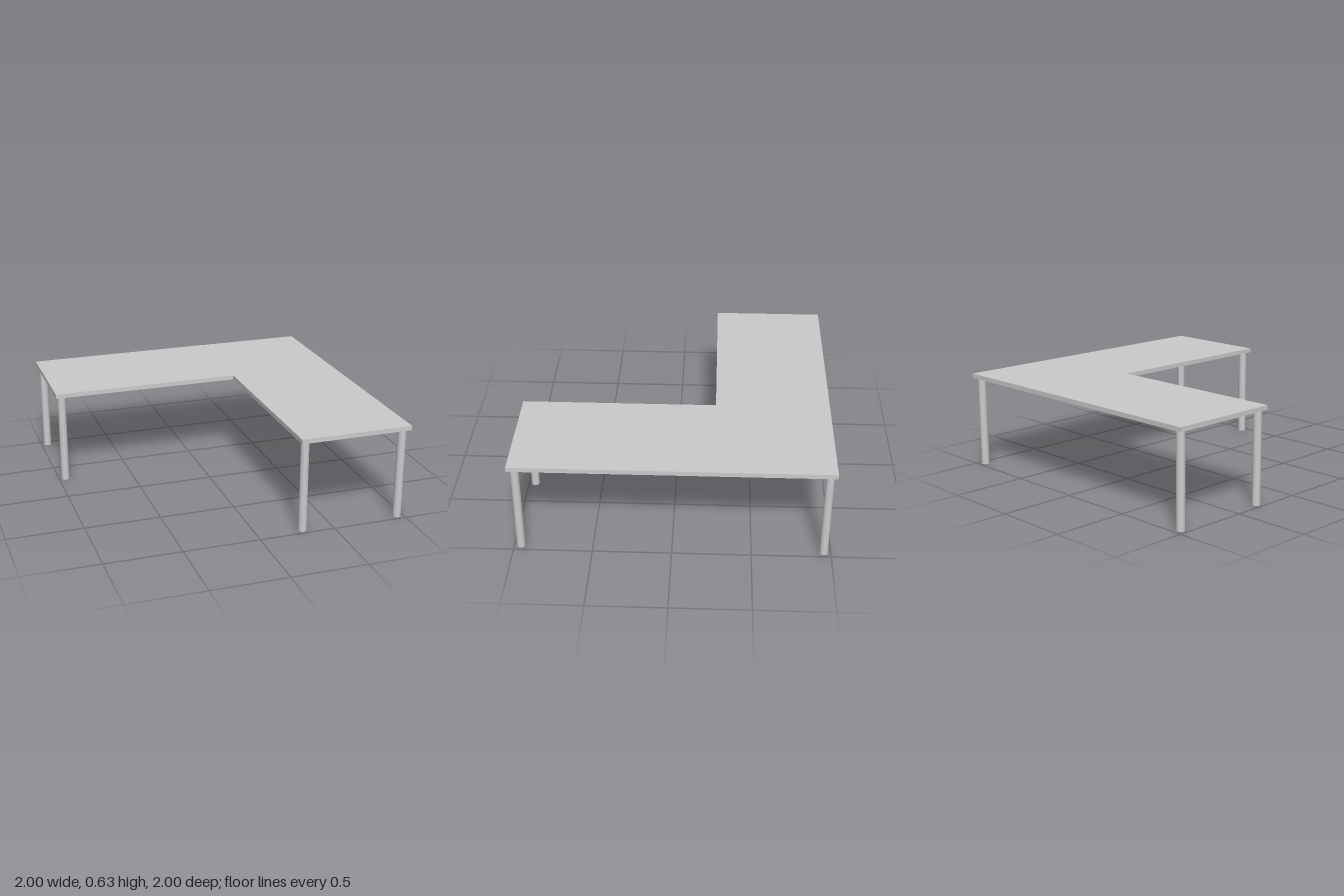
import * as THREE from 'three';

export function createModel() {
  const desk = new THREE.Group();
  desk.name = 'cornerDesk';
  const material = new THREE.MeshStandardMaterial({ color: 0xcccccc });
  const legHeight = 0.605, topThickness = 0.03, legRadius = 0.027;

  // L-shaped top, drawn in (x, -z) and laid flat
  const outline = new THREE.Shape([
    [-1, 1], [-1, 0.26], [0.26, 0.26], [0.26, -1], [1, -1], [1, 1],
  ].map(([x, y]) => new THREE.Vector2(x, y)));
  const topGeometry = new THREE.ExtrudeGeometry(outline, { depth: topThickness, bevelEnabled: false });
  topGeometry.rotateX(-Math.PI / 2);
  const top = new THREE.Mesh(topGeometry, material);
  top.name = 'deskTop';
  top.position.y = legHeight;
  desk.add(top);

  // Five round legs: two at each wing end, one at the outer corner
  const legGeometry = new THREE.CylinderGeometry(legRadius, legRadius, legHeight, 32);
  const legs = {
    rightBackLeg: [-0.956, -0.956],
    rightInnerLeg: [-0.956, -0.298],
    cornerLeg: [0.956, -0.956],
    frontInnerLeg: [0.298, 0.956],
    frontOuterLeg: [0.956, 0.956],
  };
  for (const [name, [x, z]] of Object.entries(legs)) {
    const leg = new THREE.Mesh(legGeometry, material);
    leg.name = name;
    leg.position.set(x, legHeight / 2, z);
    desk.add(leg);
  }
  return desk;
}
